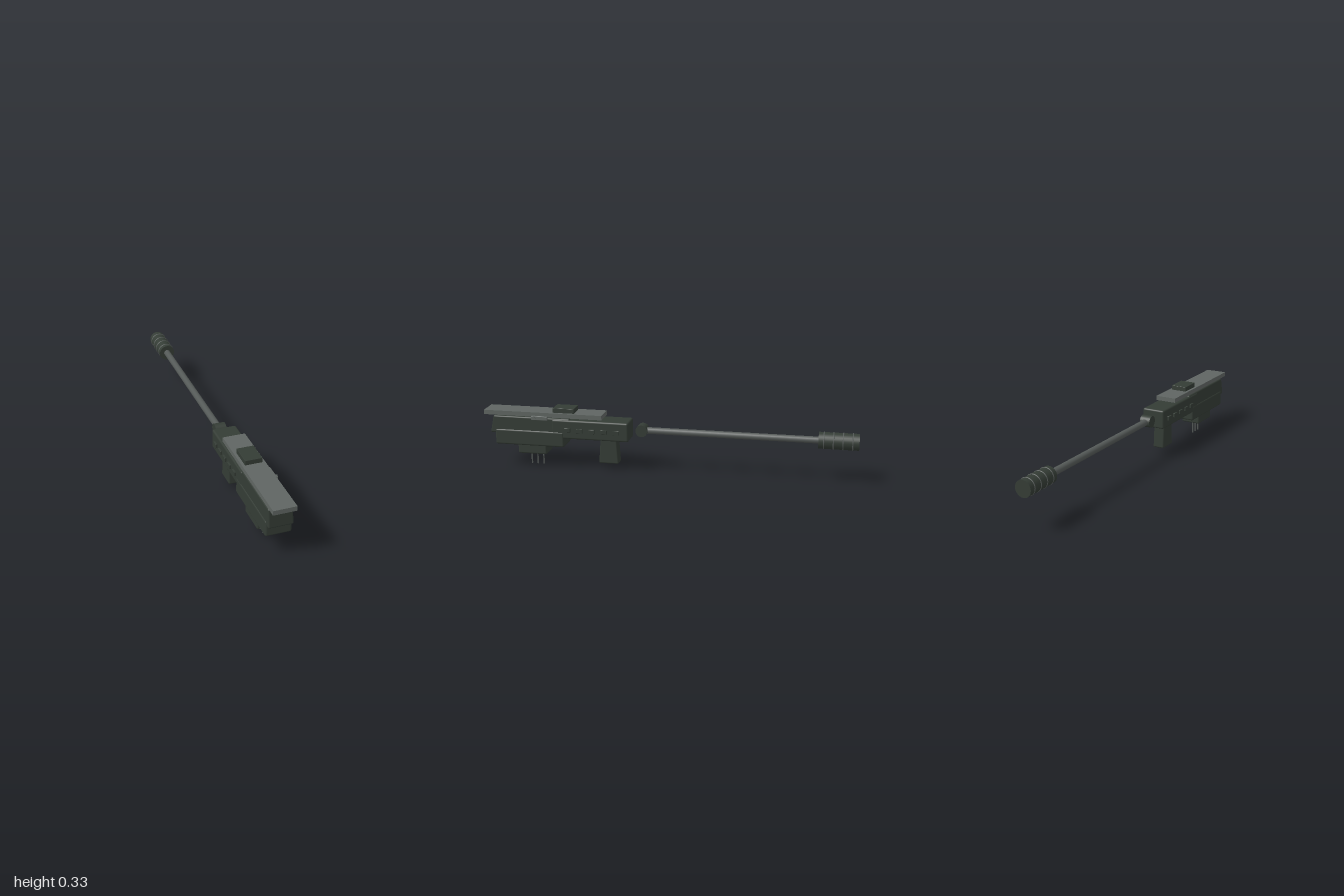
import * as THREE from 'three';
import { RoundedBoxGeometry } from 'three/addons/geometries/RoundedBoxGeometry.js';

const CX = -0.0045; // centre line of the body

export function createModel() {
  const group = new THREE.Group();
  const material = (name, color) => {
    const m = new THREE.MeshStandardMaterial({ color });
    m.name = name;
    return m;
  };
  const dark = material('dark olive', 0x343c35);
  const grey = material('rail grey', 0x5f6562);
  const steel = material('rod grey', 0x545957);

  const add = (name, geometry, mat, x, y, z) => {
    const mesh = new THREE.Mesh(geometry, mat);
    mesh.name = name;
    mesh.position.set(x, y, z);
    group.add(mesh);
    return mesh;
  };

  // Box between limits, with optional rounded edges and a reshaping rule
  const block = (name, mat, width, [y0, y1], [z0, z1], radius = 0, reshape = null, x = CX) => {
    const h = y1 - y0, d = z1 - z0;
    const g = radius ? new RoundedBoxGeometry(width, h, d, 3, radius) : new THREE.BoxGeometry(width, h, d);
    if (reshape) {
      const p = g.attributes.position;
      const v = new THREE.Vector3();
      for (let i = 0; i < p.count; i++) {
        v.fromBufferAttribute(p, i);
        reshape(v, v.y / h + 0.5);
        p.setXYZ(i, v.x, v.y, v.z);
      }
    }
    return add(name, g, mat, x, (y0 + y1) / 2, (z0 + z1) / 2);
  };

  // Body: rear housing, upper front with raked nose, lower front
  block('rearHousing', dark, 0.128, [0.168, 0.272], [0.2, 0.62], 0.01);
  block('upperHousing', dark, 0.126, [0.182, 0.277], [0.52, 0.966], 0.008, (v, t) => {
    v.x *= 1 - 0.06 * t;
    if (v.z > 0) v.z -= 0.018 * t;
  });
  block('lowerHousing', dark, 0.132, [0.119, 0.205], [0.554, 0.938], 0.01);
  block('underBlock', dark, 0.111, [0.07, 0.13], [0.655, 0.815], 0.009);
  block('grip', dark, 0.064, [0.033, 0.18], [0.261, 0.37], 0.008, (v, t) => {
    v.z *= 1 - 0.2 * t;
  });

  // Top rail and the raised block on it
  block('topRail', grey, 0.117, [0.281, 0.305], [0.345, 1]);
  block('railBlock', dark, 0.088, [0.303, 0.33], [0.5, 0.617], 0.002);

  // Row of raised vents on each side
  for (const side of [-1, 1]) {
    for (let i = 0; i < 5; i++) {
      const z = 0.265 + i * 0.0668;
      block('sideVent', dark, 0.016, [0.206, 0.229], [z - 0.017, z + 0.017], 0.002, null, CX + side * 0.0645);
    }
  }

  // Side latch on the left
  block('latchArm', grey, 0.055, [0.274, 0.282], [0.65, 0.72], 0, null, 0.037);
  block('latchPlate', grey, 0.014, [0.266, 0.288], [0.64, 0.73], 0.003, null, 0.062);
  const knob = add('latchKnob', new THREE.CylinderGeometry(0.01, 0.01, 0.02, 12), grey, 0.065, 0.278, 0.715);
  knob.rotation.z = Math.PI / 2;

  // Contact pins
  for (const z of [0.69, 0.724, 0.757]) {
    add('pin', new THREE.CylinderGeometry(0.004, 0.004, 0.08, 10), steel, CX, 0.04, z);
  }

  // Pivot drum and rod
  const pivot = add('pivot', new THREE.CylinderGeometry(0.032, 0.032, 0.058, 24), dark, CX, 0.224, 0.136);
  pivot.rotation.z = Math.PI / 2;
  const rod = add('rod', new THREE.CylinderGeometry(0.018, 0.018, 0.95, 20), steel, CX, 0.223, -0.355);
  rod.rotation.x = Math.PI / 2;

  // Handle with raised rings
  const handle = add('handle', new THREE.CylinderGeometry(0.0435, 0.0435, 0.207, 28), dark, CX, 0.223, -0.8965);
  handle.rotation.x = Math.PI / 2;
  for (const z of [-0.82, -0.869, -0.918, -0.967]) {
    add('handleRing', new THREE.TorusGeometry(0.0425, 0.0035, 8, 28), steel, CX, 0.223, z);
  }
  return group;
}
